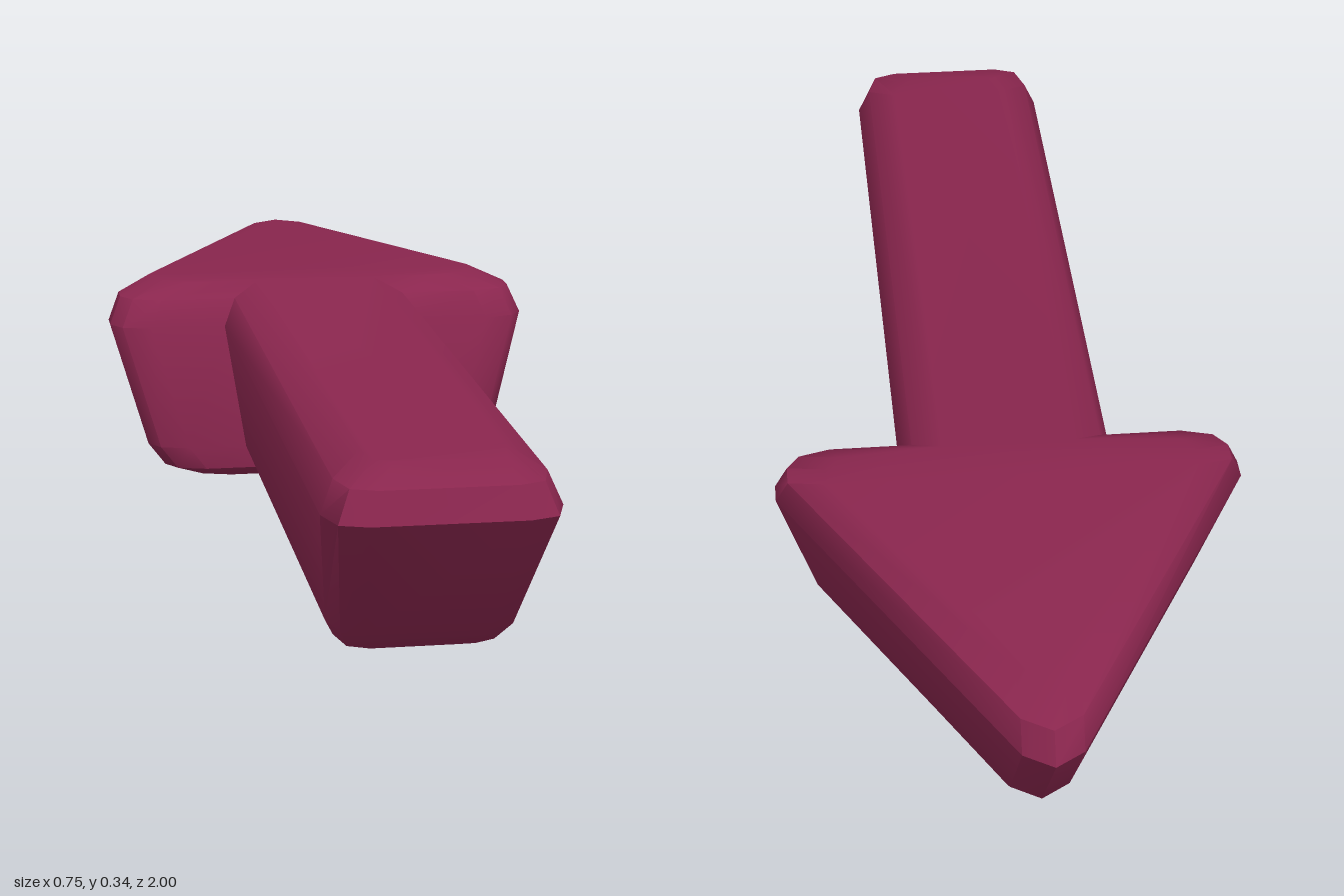
import * as THREE from 'three';
import { toCreasedNormals } from 'three/addons/utils/BufferGeometryUtils.js';

// Horizontal slices, bottom to top:
// y, shaft half width, shaft end z, head half width, head tip z, head shoulder z
const SLICES = [
  [0.00, 0.100, 0.73, 0.235, -0.71, -0.235],
  [0.02, 0.122, 0.785, 0.282, -0.785, -0.208],
  [0.06, 0.141, 0.835, 0.312, -0.835, -0.205],
  [0.27, 0.172, 1.00, 0.373, -1.00, -0.252],
  [0.317, 0.152, 0.985, 0.353, -0.975, -0.270],
  [0.34, 0.105, 0.925, 0.293, -0.885, -0.310],
];

// Arrow outline with clipped corners, counter-clockwise seen from above
function outline([, shaft, end, head, tip, shoulder]) {
  const half = [
    [shaft * 0.65, end],
    [shaft * 0.9, end - 0.015],
    [shaft, end - 0.07],
    [shaft, shoulder],
    [head - 0.07, shoulder],
    [head - 0.02, shoulder - 0.015],
    [head, shoulder - 0.045],
    [head, shoulder - 0.085],
    [0.045, tip + 0.03],
  ];
  const mirrored = half.map(([x, z]) => [-x, z]).reverse();
  return [...half, [0, tip], ...mirrored];
}

// Joins the slices with side walls and closes the top and bottom
function loftArrow() {
  const rings = SLICES.map(outline);
  const n = rings[0].length;
  const positions = [];
  const index = [];
  rings.forEach((ring, r) => ring.forEach(([x, z]) => positions.push(x, SLICES[r][0], z)));
  for (let r = 0; r < rings.length - 1; r++) {
    for (let i = 0; i < n; i++) {
      const a = r * n + i;
      const b = r * n + ((i + 1) % n);
      index.push(a, b, b + n, a, b + n, a + n);
    }
  }
  const cap = (r, flip) => {
    const points = rings[r].map(([x, z]) => new THREE.Vector2(x, -z));
    for (const [a, b, c] of THREE.ShapeUtils.triangulateShape(points, [])) {
      const o = r * n;
      if (flip) index.push(o + a, o + c, o + b);
      else index.push(o + a, o + b, o + c);
    }
  };
  cap(0, true);
  cap(rings.length - 1, false);

  const geometry = new THREE.BufferGeometry();
  geometry.setAttribute('position', new THREE.Float32BufferAttribute(positions, 3));
  geometry.setIndex(index);
  return toCreasedNormals(geometry, 0.75);
}

export function createModel() {
  const group = new THREE.Group();
  group.name = 'arrow';
  const burgundy = new THREE.MeshStandardMaterial({ color: 0x8a264e });
  burgundy.name = 'burgundy';

  // Shaft and head are one continuous body
  const body = new THREE.Mesh(loftArrow(), burgundy);
  body.name = 'arrowBody';
  group.add(body);
  return group;
}
